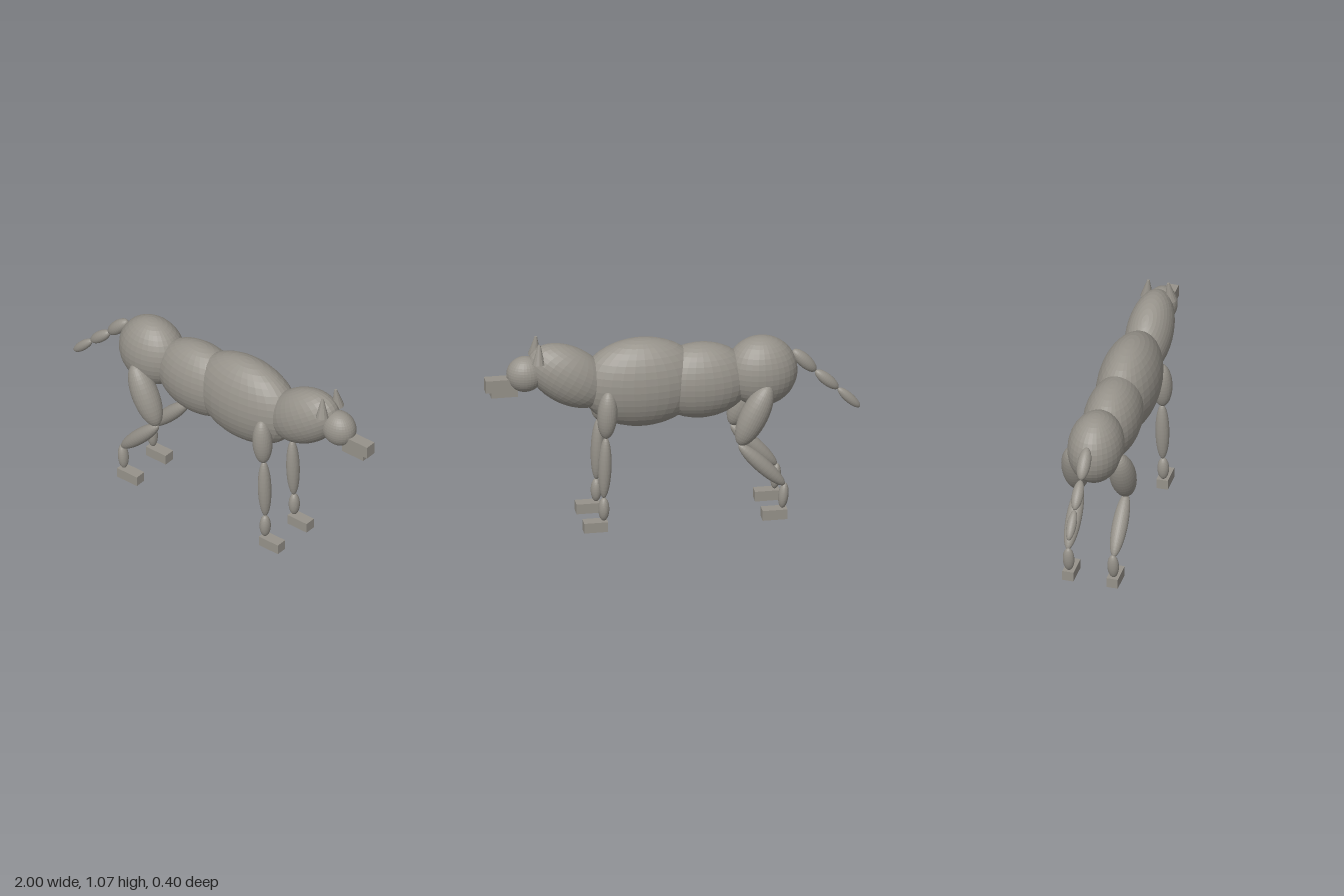
import * as THREE from 'three';

export function createModel() {
  const model = new THREE.Group();
  model.name = 'fourLeggedAnimal';

  const hide = new THREE.MeshStandardMaterial({ color: 0x96928a, flatShading: true });
  hide.name = 'warm grey';
  const ball = new THREE.SphereGeometry(1, 32, 20);

  const add = (name, geometry, x, y, z, parent = model) => {
    const mesh = new THREE.Mesh(geometry, hide);
    mesh.name = name;
    mesh.position.set(x, y, z);
    parent.add(mesh);
    return mesh;
  };

  // Ellipsoid with half sizes rx, ry, rz, tilted in the side plane
  const ellipsoid = (name, x, y, z, rx, ry, rz, tilt = 0, parent = model) => {
    const mesh = add(name, ball, x, y, z, parent);
    mesh.scale.set(rx, ry, rz);
    mesh.rotation.z = tilt;
    return mesh;
  };

  // Ellipsoid stretched between two joints in the side plane
  const bone = (name, [x1, y1], [x2, y2], z, rx, rz, parent = model) =>
    ellipsoid(name, (x1 + x2) / 2, (y1 + y2) / 2, z, rx,
      Math.hypot(x1 - x2, y1 - y2) / 2, rz, Math.atan2(x2 - x1, y1 - y2), parent);

  // Box given by its side-plane limits
  const block = (name, x1, x2, y1, y2, z, width, parent = model) =>
    add(name, new THREE.BoxGeometry(x2 - x1, y2 - y1, width),
      (x1 + x2) / 2, (y1 + y2) / 2, z, parent);

  // Torso, neck and head
  ellipsoid('rump', -0.475, 0.805, 0, 0.193, 0.195, 0.147);
  ellipsoid('belly', -0.15, 0.776, 0, 0.27, 0.21, 0.15);
  ellipsoid('chest', 0.165, 0.79, 0, 0.33, 0.248, 0.161);
  ellipsoid('neck', 0.55, 0.853, 0, 0.247, 0.155, 0.123, 0.576);
  ellipsoid('head', 0.786, 0.881, 0, 0.099, 0.098, 0.082);
  block('snout', 0.83, 1, 0.796, 0.866, 0, 0.062);
  block('lowerJaw', 0.826, 0.97, 0.763, 0.797, 0, 0.052);

  // Tail of three links
  const tail = [[-0.645, 0.908], [-0.765, 0.779], [-0.885, 0.668], [-1, 0.551]];
  [0.036, 0.031, 0.026].forEach((r, i) =>
    bone('tailLink' + (i + 1), tail[i], tail[i + 1], 0, r, r));

  // Ears and legs, one set for each side
  for (const side of [1, -1]) {
    const label = side > 0 ? 'near' : 'far';
    const ear = add(label + 'Ear', new THREE.CylinderGeometry(0.007, 0.034, 0.107, 12),
      0.722, 1.014, side * 0.06);
    ear.rotation.set(-side * 0.1, 0, 0.06);

    const front = new THREE.Group();
    front.name = label + 'FrontLeg';
    model.add(front);
    bone('shoulder', [0.36, 0.797], [0.374, 0.53], side * 0.122, 0.053, 0.054, front);
    bone('foreleg', [0.374, 0.535], [0.385, 0.184], side * 0.119, 0.035, 0.037, front);
    bone('frontPastern', [0.385, 0.187], [0.386, 0.055], side * 0.122, 0.029, 0.031, front);
    block('frontFoot', 0.367, 0.495, 0, 0.056, side * 0.121, 0.062, front);

    const hind = new THREE.Group();
    hind.name = label + 'HindLeg';
    model.add(hind);
    ellipsoid('thigh', -0.417, 0.607, side * 0.13, 0.074, 0.184, 0.071, 0.445, hind);
    bone('shank', [-0.335, 0.44], [-0.577, 0.19], side * 0.126, 0.041, 0.042, hind);
    bone('hindPastern', [-0.58, 0.2], [-0.565, 0.055], side * 0.122, 0.027, 0.031, hind);
    block('hindFoot', -0.59, -0.457, 0, 0.056, side * 0.121, 0.062, hind);
  }

  return model;
}
